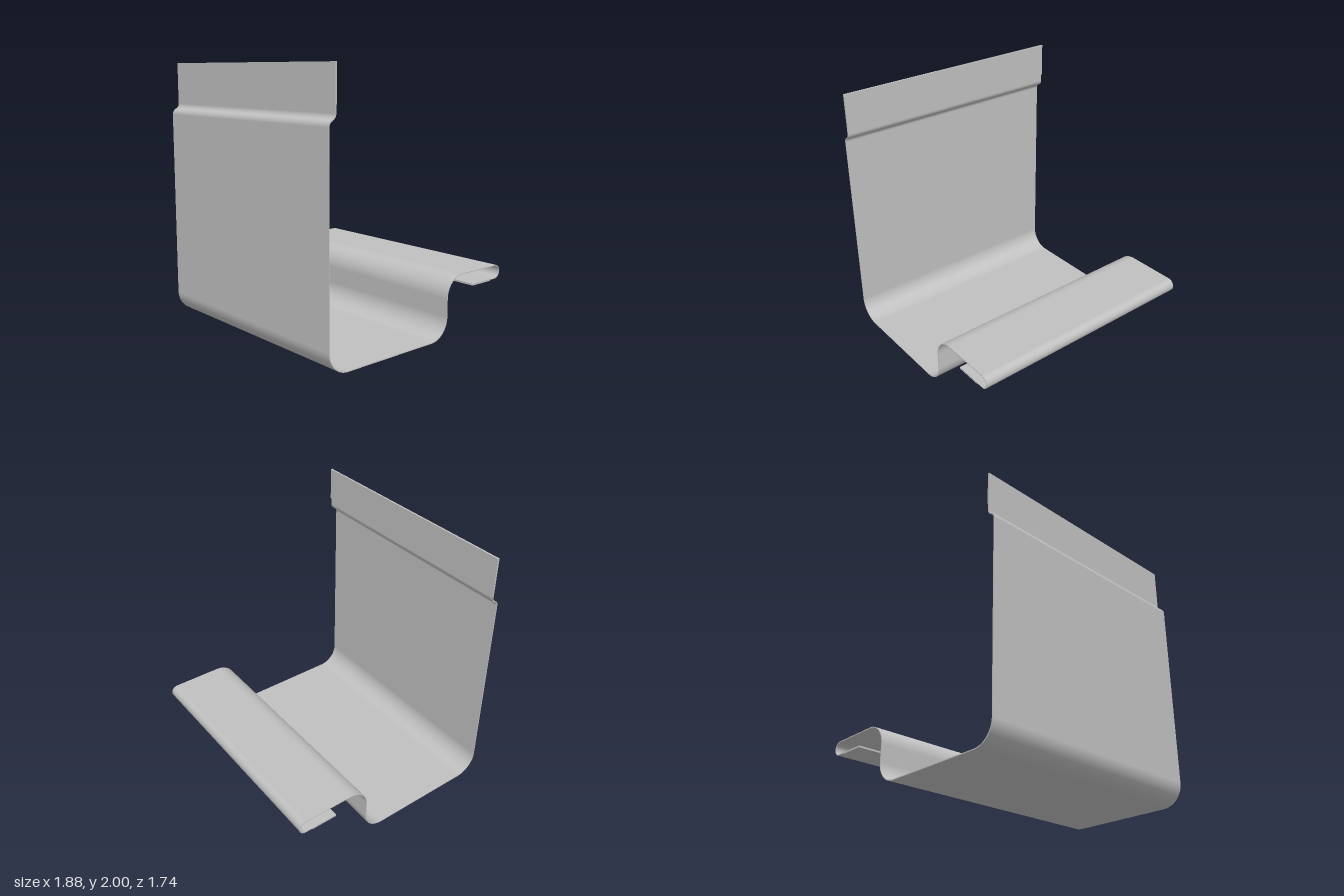
import * as THREE from 'three';

const HALF = 0.94;   // half the length of the strip
const T = 0.007;     // sheet thickness

// Traces the centreline in the (z, y) plane as straight runs and bends
function tracePath(z, y, heading) {
  const pts = [];
  const add = () => pts.push({ z, y, nz: -Math.sin(heading), ny: Math.cos(heading) });
  add();
  return {
    pts,
    go(length) {
      z += Math.cos(heading) * length;
      y += Math.sin(heading) * length;
      add();
      return this;
    },
    bend(radius, angle) {
      const steps = Math.ceil(Math.abs(angle) / 0.08);
      const s = Math.sign(angle), start = heading;
      const cz = z - Math.sin(start) * radius * s, cy = y + Math.cos(start) * radius * s;
      for (let i = 1; i <= steps; i++) {
        heading = start + angle * i / steps;
        z = cz + Math.sin(heading) * radius * s;
        y = cy - Math.cos(heading) * radius * s;
        add();
      }
      return this;
    },
  };
}

// Sweeps the centreline along x as a sheet with smooth faces and crisp edges
function sheetGeometry(pts) {
  const position = [], normal = [];
  const at = (p, side, x) => [x, p.y + p.ny * side * T / 2, p.z + p.nz * side * T / 2];
  const quad = (corners, normals) => {
    for (const i of [0, 1, 2, 0, 2, 3]) {
      position.push(...corners[i]);
      normal.push(...normals[i]);
    }
  };
  for (let i = 0; i < pts.length - 1; i++) {
    const a = pts[i], b = pts[i + 1];
    for (const s of [1, -1]) {
      const na = [0, a.ny * s, a.nz * s], nb = [0, b.ny * s, b.nz * s];
      // Broad face
      quad([at(a, s, -s * HALF), at(b, s, -s * HALF), at(b, s, s * HALF), at(a, s, s * HALF)], [na, nb, nb, na]);
      // Cut edge at the end of the strip
      const x = s * HALF, n = [s, 0, 0];
      quad([at(a, s, x), at(b, s, x), at(b, -s, x), at(a, -s, x)], [n, n, n, n]);
    }
  }
  // Long edges at both ends of the path
  [[pts[0], 1], [pts[pts.length - 1], -1]].forEach(([p, s]) => {
    const n = [0, p.nz * s, -p.ny * s];
    quad([at(p, -s, -HALF), at(p, s, -HALF), at(p, s, HALF), at(p, -s, HALF)], [n, n, n, n]);
  });
  const g = new THREE.BufferGeometry();
  g.setAttribute('position', new THREE.Float32BufferAttribute(position, 3));
  g.setAttribute('normal', new THREE.Float32BufferAttribute(normal, 3));
  return g;
}

export function createModel() {
  const group = new THREE.Group();
  group.name = 'foldedSheetProfile';
  const metal = new THREE.MeshStandardMaterial({ color: 0xc0c0c0, side: THREE.DoubleSide });
  metal.name = 'grey metal';
  const add = (name, geometry) => {
    const mesh = new THREE.Mesh(geometry, metal);
    mesh.name = name;
    group.add(mesh);
    return mesh;
  };

  const Q = Math.PI / 2, step = 1.166, R = 0.1615;
  const path = tracePath(0.812, 2, -Q)
    .go(0.315)                            // upper flange
    .bend(0.045, step).bend(0.045, -step) // offset step
    .go(1.4373).bend(R, -Q)               // front wall
    .go(0.81).bend(R, -Q)                 // floor
    .go(0.135).bend(R, Q)                 // rear wall
    .go(0.387).bend(0.051, 2 * Q)         // ledge and rolled edge
    .go(0.2655);                          // return lip
  add('sheet', sheetGeometry(path.pts));

  // Flat hems folded back against both free edges
  const first = path.pts[0], last = path.pts[path.pts.length - 1];
  add('upperHem', new THREE.BoxGeometry(HALF * 2, 0.26, T))
    .position.set(0, first.y - 0.13, first.z - T);
  add('lowerHem', new THREE.BoxGeometry(HALF * 2, T, 0.21))
    .position.set(0, last.y - T, last.z - 0.105);
  return group;
}
